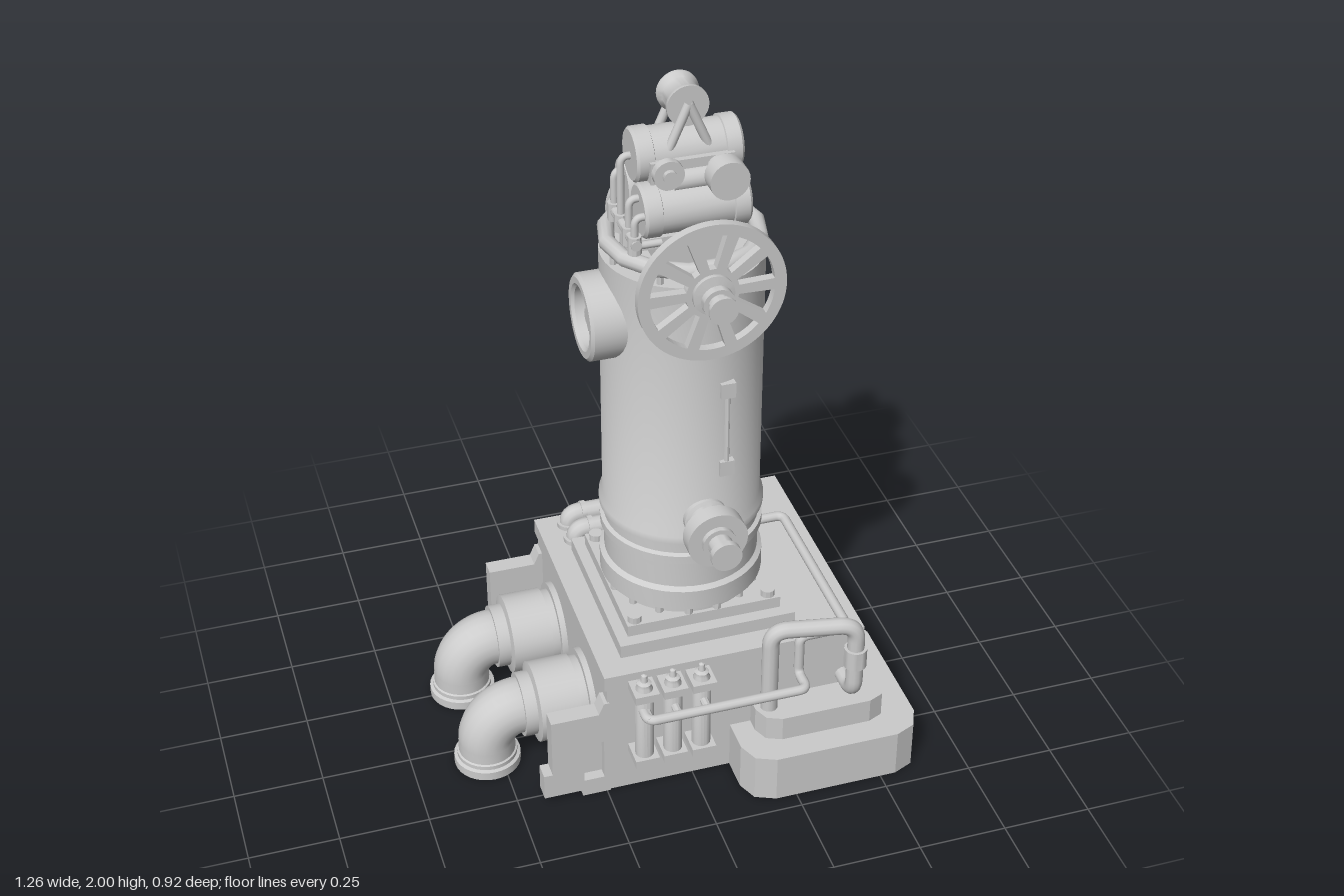
import * as THREE from 'three';
import { toCreasedNormals } from 'three/addons/utils/BufferGeometryUtils.js';

const mat = new THREE.MeshStandardMaterial({ color: 0xcccccc, side: THREE.DoubleSide });
const V = (a) => new THREE.Vector3(...a);
const CX = 0.063, CZ = -0.035; // axis of the column

export function createModel() {
  const model = new THREE.Group();
  const add = (name, geo, pos = [0, 0, 0], parent = model) => {
    const m = new THREE.Mesh(geo, mat);
    m.name = name;
    m.position.set(...pos);
    parent.add(m);
    return m;
  };
  // Box given by its minimum and maximum corners
  const box = (name, a, b) => add(name, new THREE.BoxGeometry(b[0] - a[0], b[1] - a[1], b[2] - a[2]),
    a.map((v, i) => (v + b[i]) / 2));
  // Turned part: [radius, offset] profile around an axis through pos
  const turn = (name, pos, axis, profile, sides = 32) => {
    const geo = toCreasedNormals(new THREE.LatheGeometry(profile.map((p) => new THREE.Vector2(...p)), sides), 0.6);
    const m = add(name, geo, pos);
    m.quaternion.setFromUnitVectors(new THREE.Vector3(0, 1, 0), V(axis));
    return m;
  };
  const rod = (name, pos, axis, r, from, to, sides = 24) =>
    turn(name, pos, axis, [[0, from], [r, from], [r, to], [0, to]], sides);
  // Pipe through corner points, each corner rounded
  const pipe = (name, pts, r, bend = 0.04) => {
    const p = pts.map(V), path = new THREE.CurvePath();
    let last = p[0];
    for (let i = 1; i < p.length - 1; i++) {
      const cut = (q) => p[i].clone().add(q.clone().sub(p[i]).setLength(Math.min(bend, q.distanceTo(p[i]) * 0.49)));
      const a = cut(p[i - 1]), b = cut(p[i + 1]);
      path.add(new THREE.LineCurve3(last, a));
      path.add(new THREE.QuadraticBezierCurve3(a, p[i], b));
      last = b;
    }
    path.add(new THREE.LineCurve3(last, p[p.length - 1]));
    return add(name, new THREE.TubeGeometry(path, 30 * p.length, r, 12), [0, 0, 0]);
  };
  const extrude = (shape, depth) =>
    new THREE.ExtrudeGeometry(shape, { depth, bevelEnabled: false, curveSegments: 40 });
  const polygon = (pts) => new THREE.Shape(pts.map((p) => new THREE.Vector2(...p)));

  // Base block with a lip
  box('baseBlock', [-0.245, 0, -0.455], [0.49, 0.37, 0.28]);
  box('baseLip', [-0.253, 0.365, -0.46], [0.497, 0.41, 0.285]);
  box('lowerFootPlate', [-0.186, 0.41, -0.29], [0.317, 0.45, 0.215]);
  box('upperFootPlate', [-0.155, 0.45, -0.255], [0.285, 0.485, 0.18]);
  for (const sx of [-1, 1]) for (const sz of [-1, 1])
    rod('plateBolt', [CX + sx * 0.192, 0.45, CZ + sz * 0.192], [0, 1, 0], 0.02, 0, 0.055, 12);

  // Chamfered two-tier step around the front left corner
  const step = (name, x0, x1, z0, z1, c, y, h) => {
    const m = add(name, extrude(polygon([[x0, -z0], [x0, -z1 + c], [x0 + c * 0.3, -z1 + c * 0.3], [x0 + c, -z1],
      [x1 - c, -z1], [x1 - c * 0.3, -z1 + c * 0.3], [x1, -z1 + c], [x1, -z0 - c], [x1 - c * 0.3, -z0 - c * 0.3],
      [x1 - c, -z0]]), h), [0, y, 0]);
    m.rotation.x = -Math.PI / 2;
  };
  step('lowerStep', 0.11, 0.625, -0.065, 0.455, 0.08, 0, 0.145);
  step('upperStep', 0.17, 0.548, 0.015, 0.38, 0.06, 0.145, 0.075);

  // Column with its bands
  turn('column', [CX, 0, CZ], [0, 1, 0], [[0, 0.48], [0.205, 0.48], [0.205, 0.51], [0.226, 0.51], [0.226, 0.57],
    [0.213, 0.58], [0.213, 0.66], [0.224, 0.665], [0.224, 0.69], [0.213, 0.695], [0.213, 0.725], [0.226, 0.735],
    [0.226, 0.755], [0.216, 0.77], [0.216, 1.53], [0, 1.53]], 48);
  for (let i = 0; i < 16; i++) {
    const a = (i + 0.5) * Math.PI / 8, x = CX + Math.cos(a) * 0.208, z = CZ + Math.sin(a) * 0.208;
    rod('footBolt', [x, 0.485, z], [0, 1, 0], 0.012, 0, 0.03, 8);
    if (i % 2) rod('railPost', [CX + Math.cos(a) * 0.2, 1.52, CZ + Math.sin(a) * 0.2], [0, 1, 0], 0.009, 0, 0.05, 8);
  }
  add('topRail', new THREE.TorusGeometry(0.2, 0.022, 12, 14), [CX, 1.57, CZ]).rotation.x = Math.PI / 2;

  // Spoked wheels, front and back
  const wheel = (name, r, z, depth) => {
    const s = new THREE.Shape().absarc(0, 0, r, 0, Math.PI * 2);
    for (let i = 0; i < 10; i++) {
      const a = i * Math.PI / 5, h = new THREE.Path();
      h.absarc(0, 0, r * 0.84, a + 0.1, a + 0.53, false);
      h.absarc(0, 0, r * 0.36, a + 0.44, a + 0.19, true);
      h.closePath();
      s.holes.push(h);
    }
    add(name, toCreasedNormals(extrude(s, depth), 0.5), [CX, 1.53, z]);
  };
  wheel('frontWheel', 0.195, 0.193, 0.024);
  turn('frontWheelHub', [CX, 1.53, 0], [0, 0, 1], [[0.03, 0.15], [0.055, 0.19], [0.055, 0.228], [0.028, 0.232],
    [0.028, 0.25], [0.042, 0.25], [0.042, 0.272], [0.03, 0.272], [0.03, 0.295], [0.038, 0.295], [0.038, 0.307], [0, 0.307]]);
  wheel('backWheel', 0.137, -0.273, 0.015);
  rod('backWheelHub', [CX, 1.53, 0], [0, 0, 1], 0.036, -0.285, -0.23);

  // Round valve low on the front
  turn('frontValve', [CX, 0.81, 0], [0, 0, 1], [[0.06, 0.15], [0.06, 0.19], [0.05, 0.195], [0.05, 0.243], [0.083, 0.243],
    [0.083, 0.29], [0.046, 0.29], [0.046, 0.305], [0.033, 0.305], [0.033, 0.345], [0.042, 0.345], [0.042, 0.365], [0, 0.365]]);

  // Sight glass on the front
  for (const y of [0.94, 1.185]) box('sightGlassFitting', [0.1, y, 0.15], [0.14, y + 0.045, 0.188]);
  rod('sightGlass', [0.12, 0, 0.18], [0, 1, 0], 0.007, 0.96, 1.2, 8);

  // Dial on the right side
  turn('dialRing', [0, 1.36, CZ], [-1, 0, 0], [[0.117, 0.05], [0.117, 0.205], [0.108, 0.213], [0.09, 0.213],
    [0.082, 0.205], [0.082, 0.17], [0, 0.17]], 36);
  for (const [a, l] of [[0.5, 0.13], [-0.8, 0.09]]) {
    const n = add('dialHand', new THREE.BoxGeometry(0.012, l, 0.016), [-0.178, 1.36, CZ]);
    n.rotation.x = a;
  }
  rod('dialHub', [0, 1.36, CZ], [-1, 0, 0], 0.022, 0.16, 0.195, 16);

  // Slim tank on the back with arms and three taps
  turn('backTank', [CX, 0, -0.35], [0, 1, 0], [[0, 0.835], [0.02, 0.835], [0.02, 0.86], [0.04, 0.865], [0.052, 0.885],
    [0.052, 1.155], [0.043, 1.165], [0.043, 1.18], [0.02, 1.185], [0, 1.185]], 24);
  for (const [y, wallY] of [[0.845, 0.83], [1.175, 1.2]]) {
    pipe('tankArm', [[CX, y, -0.35], [CX, y, -0.3], [CX, wallY, -0.23]], 0.014, 0.02);
    box('tankBracket', [CX - 0.03, wallY - 0.035, -0.262], [CX + 0.03, wallY + 0.035, -0.24]);
    rod('bracketPin', [CX, wallY + 0.015, 0], [0, 0, -1], 0.011, 0.25, 0.288, 10);
  }
  for (const y of [0.94, 1.02, 1.1])
    turn('tankTap', [CX, y, -0.36], [-1, 0, 0], [[0.012, 0.04], [0.012, 0.062], [0.024, 0.064], [0.024, 0.078], [0, 0.105]], 12);

  // Engine head: three drums on a pedestal
  box('headPedestal', [-0.03, 1.53, -0.13], [0.16, 1.62, 0.06]);
  box('headPlate', [-0.1, 1.6, -0.15], [0.17, 1.63, 0.08]);
  box('headCore', [-0.045, 1.63, -0.115], [0.175, 1.82, 0.045]);
  for (const [y, z] of [[1.81, -0.037], [1.69, 0.035], [1.69, -0.109]])
    turn('drum', [0, y, z], [1, 0, 0], [[0, -0.075], [0.065, -0.075], [0.072, -0.068], [0.072, -0.03], [0.067, -0.028],
      [0.067, 0.158], [0.072, 0.16], [0.072, 0.198], [0.065, 0.205], [0, 0.205]]);
  for (const z of [-1, 1])
    rod('sideRoller', [0.13, 1.765, CZ + z * 0.075], [1, 0, 0], 0.03, -0.12, 0.04, 16);
  turn('largeKnob', [0.13, 1.795, 0], [0, 0, 1], [[0.02, 0], [0.02, 0.06], [0.035, 0.06], [0.035, 0.08], [0.018, 0.08],
    [0.018, 0.093], [0.052, 0.093], [0.052, 0.142], [0, 0.142]], 24);
  turn('smallKnob', [-0.005, 1.795, 0], [0, 0, 1], [[0.022, 0], [0.022, 0.05], [0.04, 0.05], [0.04, 0.072],
    [0.018, 0.072], [0.018, 0.085], [0, 0.085]], 24);

  // A-frame with its roller
  turn('topRoller', [CX, 1.945, CZ - 0.005], [0, 0, 1], [[0, -0.046], [0.055, -0.046], [0.055, -0.036], [0.046, -0.022],
    [0.046, 0.022], [0.055, 0.036], [0.055, 0.046], [0, 0.046]]);
  for (const z of [0.012, -0.092]) for (const s of [-1, 1])
    pipe('frameLeg', [[CX, 1.955, z], [CX + s * 0.067, 1.8, z]], 0.012);

  // Feed lines beside the drums
  for (const z of [-0.095, -0.035, 0.035, 0.085]) {
    const top = z > 0.05 ? 1.7 : 1.81 - Math.abs(z + 0.035) * 1.2;
    pipe('feedLine', [[-0.06, top, z], [-0.1, top, z], [-0.1, 1.62, z], [-0.03, 1.62, z]], 0.01, 0.025);
    rod('feedFitting', [-0.1, 1.6, z], [0, 1, 0], 0.018, 0, 0.05, 10);
  }
  rod('feedManifold', [-0.1, 1.63, 0], [0, 0, 1], 0.014, -0.1, 0.105, 12);
  for (const z of [-0.07, 0.02]) rod('headPost', [-0.08, 1.52, z], [0, 1, 0], 0.014, 0, 0.1, 12);

  // Control box at the back left
  box('controlBox', [0.186, 0.41, -0.45], [0.365, 0.71, -0.29]);
  box('controlBoxCap', [0.24, 0.71, -0.4], [0.317, 0.725, -0.34]);

  // Twin pipes along the back
  for (const z of [-0.41, -0.335]) {
    pipe('backPipe', [[0.2, 0.448, z], [-0.16, 0.448, z], [-0.16, 0.39, z]], 0.028, 0.035);
    rod('backPipeCollar', [0, 0.448, z], [1, 0, 0], 0.032, -0.125, -0.11);
    rod('backPipeFlange', [-0.16, 0.405, z], [0, 1, 0], 0.036, 0, 0.018);
  }

  // Thin line from the control box round to the canisters
  pipe('thinLine', [[0.345, 0.447, -0.32], [0.345, 0.447, -0.22], [0.435, 0.447, -0.22], [0.435, 0.447, 0.315],
    [0.295, 0.447, 0.315], [0.295, 0.32, 0.315], [0.295, 0.32, 0.387], [-0.16, 0.32, 0.387], [-0.16, 0.32, 0.32]], 0.014, 0.025);

  // Thick bypass pipe above the step
  pipe('bypassPipe', [[0.21, 0.19, 0.318], [0.21, 0.49, 0.318], [0.442, 0.49, 0.362], [0.442, 0.25, 0.362],
    [0.442, 0.25, 0.26]], 0.024, 0.05);
  rod('bypassCollar', [0.442, 0, 0.362], [0, 1, 0], 0.032, 0.35, 0.41);

  // Three canisters on the front
  for (const x of [-0.153, -0.072, 0.01]) {
    turn('canister', [x, 0, 0.325], [0, 1, 0], [[0, 0.14], [0.026, 0.14], [0.026, 0.38], [0.02, 0.395], [0.02, 0.405],
      [0.01, 0.41], [0.008, 0.43], [0, 0.435]], 20);
    box('canisterTopCap', [x - 0.034, 0.36, 0.285], [x + 0.034, 0.385, 0.36]);
    box('canisterBottomCap', [x - 0.034, 0.13, 0.275], [x + 0.034, 0.155, 0.36]);
    rod('canisterOutlet', [x, 0.32, 0], [0, 0, 1], 0.012, 0.33, 0.39, 10);
  }

  // Two large outlets on the right side, elbowed down to floor flanges
  for (const z of [-0.255, 0.055]) {
    turn('outletCollar', [0, 0.175, z], [-1, 0, 0], [[0.127, 0.24], [0.127, 0.262], [0.108, 0.262], [0.108, 0.285],
      [0.115, 0.285], [0.115, 0.4], [0.091, 0.405], [0.091, 0.44], [0.06, 0.44]], 36);
    add('outletElbow', new THREE.TorusGeometry(0.097, 0.08, 20, 16, Math.PI / 2), [-0.44, 0.078, z]).rotation.y = Math.PI;
    turn('outletFlange', [-0.537, 0, z], [0, 1, 0], [[0, 0], [0.094, 0], [0.094, 0.026], [0.085, 0.03],
      [0.085, 0.042], [0.08, 0.045], [0.08, 0.08]], 32);
  }

  // Stepped brackets at both ends of the right side
  const bracket = polygon([[-0.24, 0], [-0.32, 0], [-0.32, 0.02], [-0.43, 0.02], [-0.43, 0.1], [-0.405, 0.1],
    [-0.405, 0.285], [-0.27, 0.285], [-0.255, 0.32], [-0.24, 0.32]]);
  bracket.holes.push(new THREE.Path([[-0.315, 0.055], [-0.315, 0.185], [-0.257, 0.185], [-0.257, 0.055]]
    .map((p) => new THREE.Vector2(...p))));
  for (const [z, inner] of [[-0.46, -0.435], [0.235, 0.235]]) {
    add('sideBracket', extrude(bracket, 0.05), [0, 0, z]);
    box('bracketBlock', [-0.316, 0.06, inner], [-0.256, 0.18, inner + 0.025]);
  }
  return model;
}
